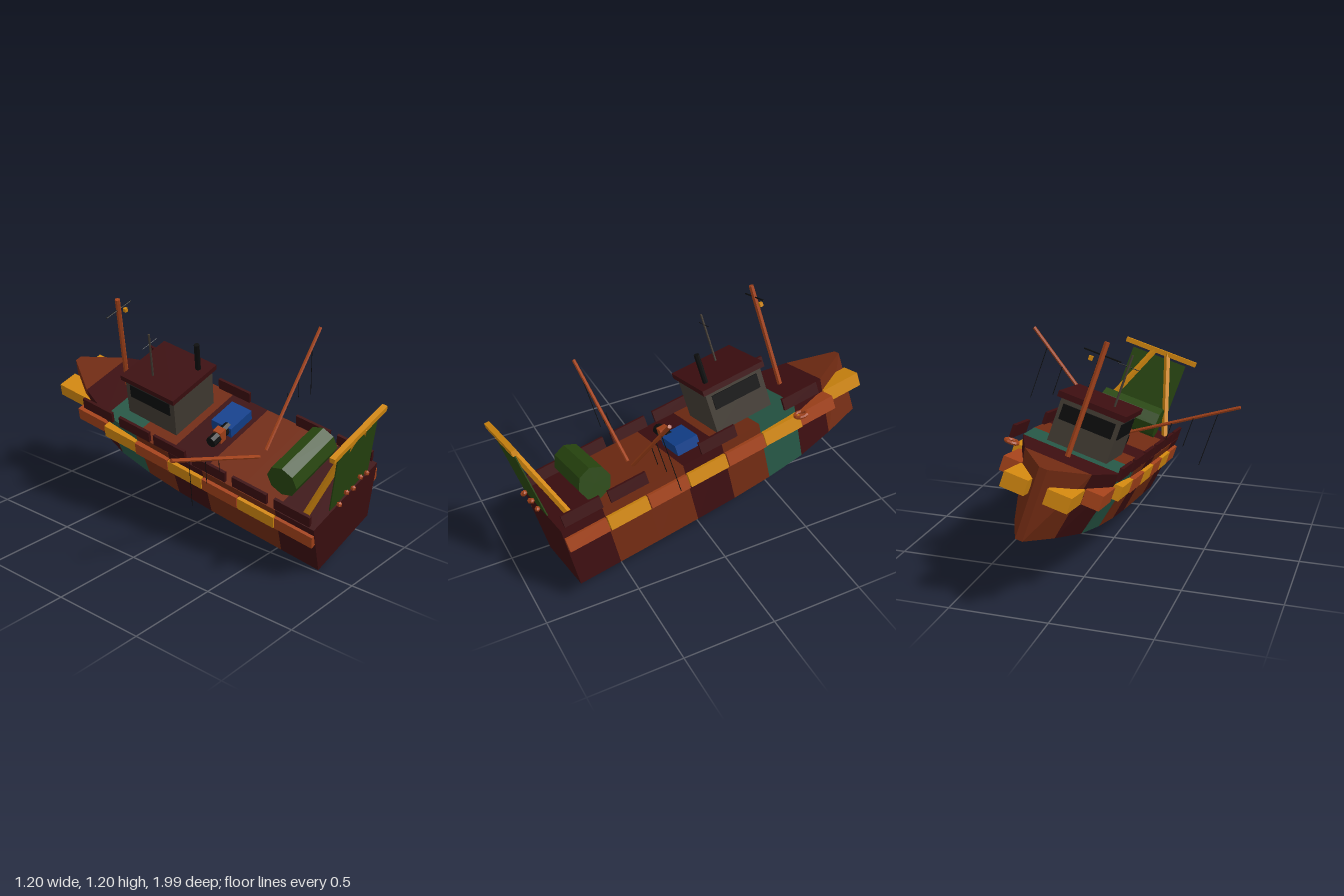
import * as THREE from 'three';

const mat = (name, color, extra = {}) => {
  const m = new THREE.MeshStandardMaterial({ color, flatShading: true, ...extra });
  m.name = name;
  return m;
};

export function createModel() {
  const M = {
    darkRed: mat('dark red', 0x3c0e10),
    brown: mat('rust brown', 0x702a12),
    teal: mat('teal', 0x265645),
    orange: mat('amber', 0xd0860f),
    rust: mat('rust orange', 0xa3421a),
    green: mat('net green', 0x27450f),
    grey: mat('cabin grey', 0x423b33),
    black: mat('black', 0x0c0d0d),
    blue: mat('blue', 0x12408c),
  };
  const boat = new THREE.Group();
  boat.name = 'boat';

  const add = (name, geo, material, x = 0, y = 0, z = 0) => {
    const m = new THREE.Mesh(geo, material);
    m.name = name;
    m.position.set(x, y, z);
    boat.add(m);
    return m;
  };
  const box = (name, material, w, h, d, x, y, z) =>
    add(name, new THREE.BoxGeometry(w, h, d), material, x, y, z);
  // Bar running from a to b, round or square
  const bar = (name, material, a, b, r, sides = 6) => {
    const p = new THREE.Vector3(...a), q = new THREE.Vector3(...b);
    const m = add(name, new THREE.CylinderGeometry(r, r, p.distanceTo(q), sides), material);
    m.position.copy(p).add(q).multiplyScalar(0.5);
    m.quaternion.setFromUnitVectors(new THREE.Vector3(0, 1, 0), q.sub(p).normalize());
    return m;
  };

  // Hull: eight sections from the stern (z = 0) to the bow
  const STEP = 0.2275;
  const topHalf = [0.285, 0.285, 0.285, 0.285, 0.285, 0.28, 0.262, 0.172, 0.02];
  const lowHalf = [0.23, 0.23, 0.23, 0.228, 0.222, 0.205, 0.175, 0.105, 0.018];
  const lowY = [0, 0, 0, 0, 0, 0, 0.003, 0.006, 0.01];
  const deckY = (i) => 0.345 + 0.018 * (i / 8) ** 2;
  const hullColors = ['darkRed', 'brown', 'brown', 'darkRed', 'brown', 'teal', 'darkRed', 'brown'];
  hullColors.forEach((c, s) => {
    const geo = new THREE.BoxGeometry(1, 1, 1);
    const p = geo.attributes.position;
    for (let v = 0; v < p.count; v++) {
      const i = p.getZ(v) > 0 ? s : s + 1;
      const up = p.getY(v) > 0;
      const half = up ? topHalf[i] : lowHalf[i];
      p.setXYZ(v, Math.sign(p.getX(v)) * half, up ? deckY(i) : lowY[i], -i * STEP);
    }
    geo.computeVertexNormals();
    add('hullSection', geo, M[c]);
  });

  // Rubbing strakes: straight blocks stepping in toward the bow
  const strakeOuter = [0.295, 0.297, 0.297, 0.297, 0.296, 0.29, 0.257, 0.167];
  const strakeWidth = [0.05, 0.05, 0.05, 0.05, 0.05, 0.06, 0.09, 0.12];
  for (const side of [-1, 1]) {
    strakeOuter.forEach((outer, s) => {
      box('strake', s % 2 ? M.orange : M.rust, strakeWidth[s], 0.075, STEP - 0.006,
        side * (outer - strakeWidth[s] / 2), 0.26 - (s > 5 ? 0.015 : 0), -(s + 0.5) * STEP);
    });
  }

  // Bulwark panels, with gaps
  const panels = { '-1': [0.13, 0.385, 0.64, 0.9, 1.14, 1.4], 1: [0.13, 0.385, 0.9, 1.4] };
  for (const side of [-1, 1]) {
    for (const z of panels[side]) box('bulwarkPanel', M.darkRed, 0.016, 0.065, 0.21, side * 0.278, 0.385, -z);
  }

  // Wheelhouse
  box('cabin', M.grey, 0.32, 0.24, 0.33, 0, 0.465, -1.12);
  box('cabinRoof', M.darkRed, 0.36, 0.03, 0.36, 0, 0.595, -1.12);
  box('bowWindow', M.black, 0.28, 0.08, 0.008, 0, 0.515, -1.286);
  for (const side of [-1, 1]) box('sideWindow', M.black, 0.008, 0.08, 0.27, side * 0.161, 0.515, -1.12);

  // Funnel and aerial on the roof
  bar('funnel', M.black, [0.1, 0.6, -1.0], [0.1, 0.77, -1.0], 0.015, 8);
  bar('aerial', M.grey, [-0.08, 0.6, -1.16], [-0.08, 0.88, -1.16], 0.006);
  bar('aerialCrossbar', M.black, [-0.137, 0.82, -1.16], [-0.023, 0.82, -1.16], 0.002, 4);

  // Mast with yard and lamp
  bar('mast', M.rust, [0, 0.345, -1.44], [0, 0.935, -1.44], 0.014);
  bar('mastYard', M.black, [-0.095, 0.87, -1.44], [0.095, 0.87, -1.44], 0.004, 5);
  box('mastLamp', M.orange, 0.018, 0.022, 0.018, 0.05, 0.838, -1.44);

  // Stern gantry
  box('gantryBeam', M.orange, 0.45, 0.028, 0.028, 0, 0.79, 0.045);
  for (const side of [-1, 1]) {
    bar('gantryLeg', M.orange, [side * 0.216, 0.34, -0.092], [side * 0.04, 0.79, 0.045], 0.018, 4);
  }

  // Hanging net and its floats
  const net = box('net', M.green, 0.34, 0.37, 0.006, 0, 0.576, 0.026);
  net.rotation.x = 0.085;
  [0.41, 0.442, 0.42, 0.447, 0.425].forEach((y, i) => {
    add('netFloat', new THREE.IcosahedronGeometry(0.015, 0), M.rust, (i - 2) * 0.061, y, 0.035);
  });

  // Net drum
  bar('netDrum', M.green, [-0.18, 0.435, -0.262], [0.18, 0.435, -0.262], 0.088, 8);

  // Outrigger booms with hanging lines
  for (const side of [-1, 1]) {
    bar('outriggerBoom', M.rust, [side * 0.03, 0.345, -0.51], [side * 0.616, 0.745, -0.578], 0.01);
    for (const [x, y, len] of [[0.513, 0.672, 0.31], [0.395, 0.594, 0.17], [0.294, 0.525, 0.1]]) {
      bar('boomLine', M.black, [side * x, y, -0.56], [side * x, y - len, -0.56], 0.002, 4);
    }
  }

  // Deck gear: crate and winch
  box('crate', M.blue, 0.18, 0.065, 0.13, 0.087, 0.375, -0.775);
  box('winchBody', M.rust, 0.045, 0.075, 0.05, -0.05, 0.383, -0.75);
  for (const side of [-1, 1]) {
    bar('winchDrum', M.black, [-0.05 + side * 0.022, 0.385, -0.75], [-0.05 + side * 0.075, 0.385, -0.75], 0.03, 8);
  }

  // Life ring on the left rail
  const ring = add('lifeRing', new THREE.TorusGeometry(0.032, 0.01, 6, 10), M.rust, 0.305, 0.3, -1.365);
  ring.rotation.x = Math.PI / 2;

  // The boat lies heeled over with its bow raised
  boat.rotation.set(THREE.MathUtils.degToRad(10.5), 0, THREE.MathUtils.degToRad(17), 'ZYX');
  boat.position.set(0.235, 0.069, 0.79);
  const model = new THREE.Group();
  model.name = 'fishingBoat';
  model.add(boat);
  return model;
}
